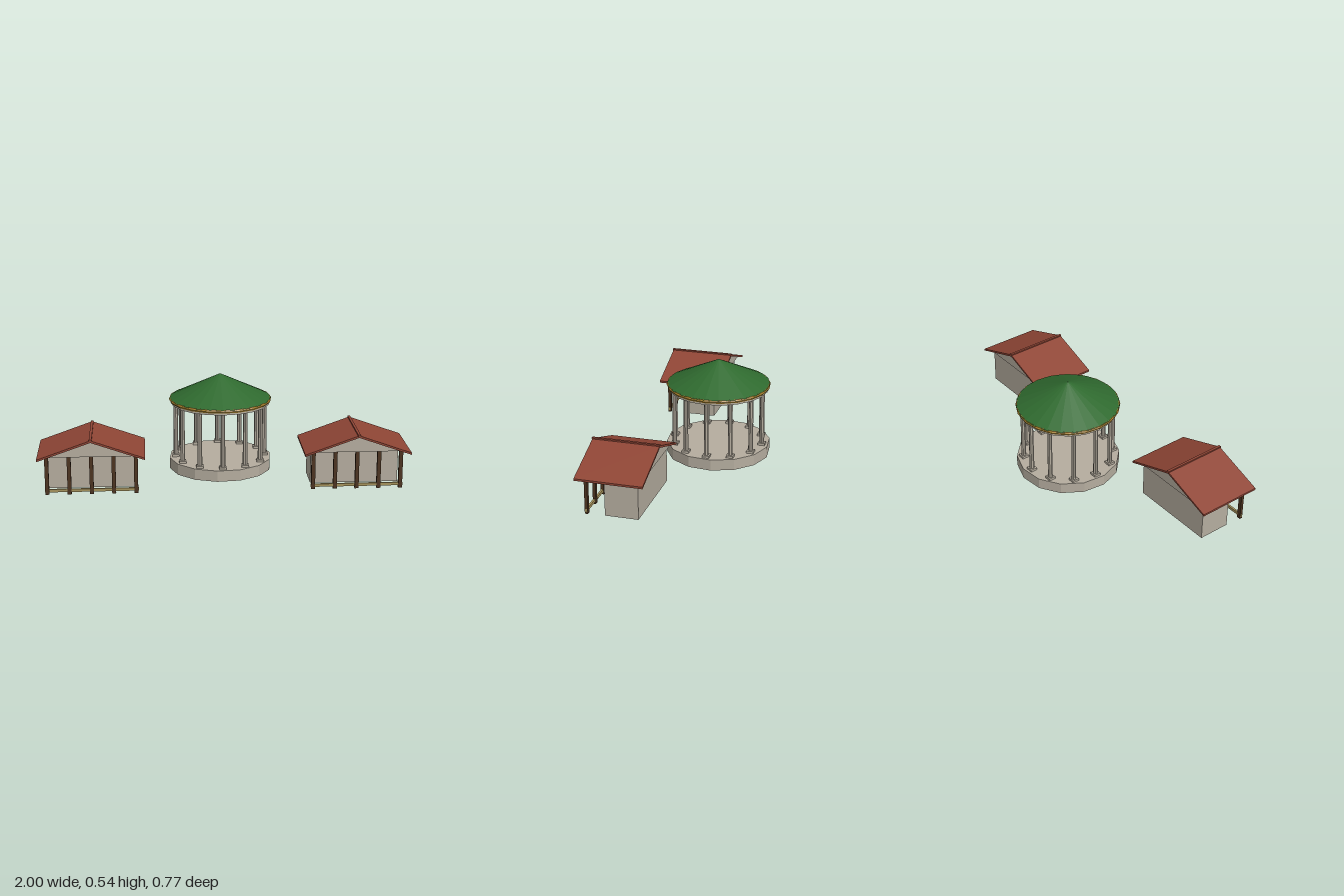
import * as THREE from 'three';

const mat = (name, color) => {
  const m = new THREE.MeshStandardMaterial({ color });
  m.name = name;
  m.flatShading = true;
  return m;
};

export function createModel() {
  const stone = mat('stone', 0xb5ad9f);
  const tile = mat('red tile', 0x8f4535);
  const green = mat('green roofing', 0x2f6a2f);
  const gold = mat('gold trim', 0xa9822c);
  const wood = mat('dark wood', 0x4c331f);
  const railWood = mat('pale wood', 0xa6935c);

  const add = (parent, name, geo, material, x = 0, y = 0, z = 0) => {
    const mesh = new THREE.Mesh(geo, material);
    mesh.name = name;
    mesh.position.set(x, y, z);
    parent.add(mesh);
    return mesh;
  };
  const box = (w, h, d) => new THREE.BoxGeometry(w, h, d);
  // Cross-section in x/y extruded from z0 to z1
  const prism = (points, z0, z1) => {
    const shape = new THREE.Shape(points.map(([x, y]) => new THREE.Vector2(x, y)));
    return new THREE.ExtrudeGeometry(shape, { depth: z1 - z0, bevelEnabled: false }).translate(0, 0, z0);
  };

  const model = new THREE.Group();
  model.name = 'pavilionAndHouses';

  // Round pavilion
  const pavilion = new THREE.Group();
  pavilion.name = 'pavilion';
  pavilion.position.z = -0.095;
  model.add(pavilion);

  const baseStart = THREE.MathUtils.degToRad(19.3);
  add(pavilion, 'base', new THREE.CylinderGeometry(0.288, 0.288, 0.062, 14, 1, false, baseStart), stone, 0, 0.031);

  const columnGeo = new THREE.CylinderGeometry(0.012, 0.0135, 0.305, 8);
  const plinthGeo = box(0.039, 0.013, 0.039);
  for (let i = 0; i < 12; i++) {
    const a = (i / 12) * Math.PI * 2;
    const x = 0.25 * Math.sin(a), z = 0.25 * Math.cos(a);
    add(pavilion, 'plinth', plinthGeo, stone, x, 0.0685, z);
    add(pavilion, 'column', columnGeo, stone, x, 0.2275, z);
  }

  add(pavilion, 'entablature', new THREE.CylinderGeometry(0.277, 0.277, 0.028, 20), stone, 0, 0.39);
  add(pavilion, 'eaveTrim', new THREE.TorusGeometry(0.277, 0.0105, 6, 20).rotateX(Math.PI / 2), gold, 0, 0.397);
  add(pavilion, 'coneRoof', new THREE.ConeGeometry(0.284, 0.137, 24), green, 0, 0.4725);

  // Gabled house with a front porch
  const buildHouse = (side) => {
    const house = new THREE.Group();
    house.name = side > 0 ? 'leftHouse' : 'rightHouse';
    house.position.x = side * 0.713;
    model.add(house);

    add(house, 'walls', box(0.48, 0.215, 0.178), stone, 0, 0.1075, 0.149);
    add(house, 'gable', prism([[-0.243, 0.213], [0.243, 0.213], [0, 0.299]], 0.038, 0.362), stone);
    add(house, 'roof', prism([
      [-0.287, 0.196], [0, 0.297], [0.287, 0.196],
      [0.287, 0.207], [0, 0.309], [-0.287, 0.207],
    ], 0.02, 0.382), tile);
    add(house, 'ridgeCap', box(0.014, 0.012, 0.366), tile, 0, 0.308, 0.202);

    // Porch posts and low rail
    for (let i = -2; i <= 2; i++) {
      add(house, 'porchPost', box(0.021, 0.215, 0.0165), wood, i * 0.1185, 0.1075, 0.335);
    }
    add(house, 'porchRail', box(0.5, 0.016, 0.011), railWood, 0, 0.02, 0.335);
  };
  [1, -1].forEach(buildHouse);

  return model;
}
